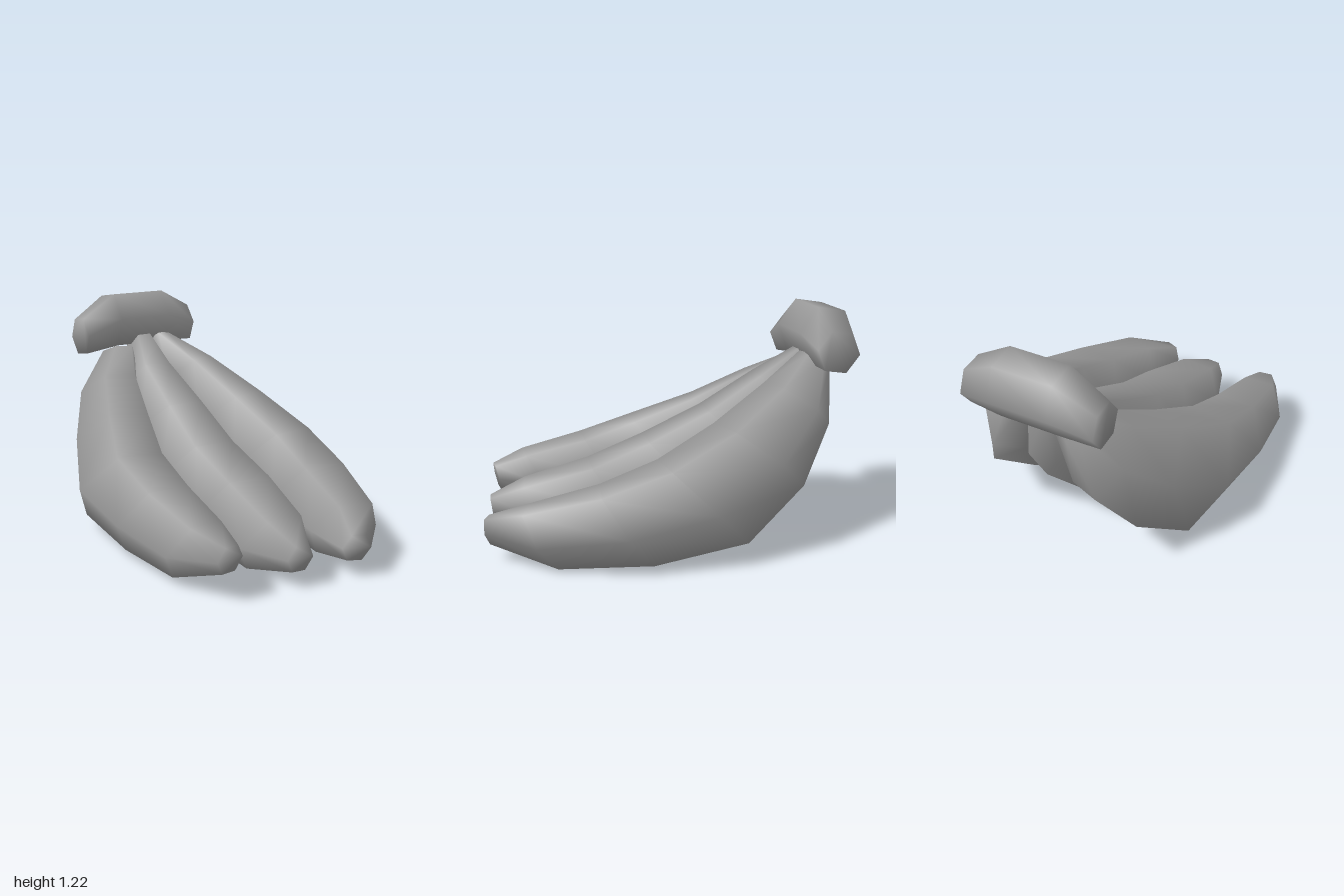
import * as THREE from 'three';

const SIDES = 6;
const material = new THREE.MeshStandardMaterial({ color: 0x999999 });

// Closed smooth skin through rings {c, u, v}: centre and two half-axes, u x v pointing along the path.
function loft(name, rings, phase = 0) {
  const pos = [], index = [];
  for (const { c, u, v } of rings) {
    for (let j = 0; j < SIDES; j++) {
      const a = phase + (j / SIDES) * Math.PI * 2;
      const p = c.clone().addScaledVector(u, Math.cos(a)).addScaledVector(v, Math.sin(a));
      pos.push(p.x, p.y, p.z);
    }
  }
  const end = (rings.length - 1) * SIDES;
  for (let a = 0; a < end; a += SIDES) {
    const b = a + SIDES;
    for (let j = 0; j < SIDES; j++) {
      const k = (j + 1) % SIDES;
      index.push(a + j, a + k, b + k, a + j, b + k, b + j);
    }
  }
  // Flat caps
  for (let j = 1; j < SIDES - 1; j++) {
    index.push(0, j + 1, j, end, end + j, end + j + 1);
  }
  const geometry = new THREE.BufferGeometry();
  geometry.setAttribute('position', new THREE.Float32BufferAttribute(pos, 3));
  geometry.setIndex(index);
  geometry.computeVertexNormals();
  const mesh = new THREE.Mesh(geometry, material);
  mesh.name = name;
  return mesh;
}

// Side profile shared by the fruits: [top z, top y, bottom z, bottom y, belly weight] per ring, stem to tip
const PROFILE = [
  [-0.73, 0.98, -0.85, 0.91, 0],
  [-0.51, 0.84, -0.79, 0.62, 1],
  [-0.21, 0.665, -0.60, 0.34, 1],
  [0.12, 0.51, -0.29, 0.09, 0.7],
  [0.44, 0.395, 0.18, 0.02, 0],
  [0.80, 0.30, 0.63, 0.0, 0],
  [0.985, 0.225, 0.96, 0.09, 0],
];

// One banana: centre x and half-width per ring, length scale, height offsets at stem and tip,
// and belly [x, y, z], which shifts the underside near the stem
function banana(name, xs, widths, length, stemLift, tipLift, belly) {
  const z = (value) => (value + 0.85) * length - 0.85;
  const rings = PROFILE.map(([tz, ty, bz, by, w], i) => {
    const rise = THREE.MathUtils.lerp(stemLift, tipLift, i / (PROFILE.length - 1));
    const lean = (belly[0] * w) / 2;
    const top = new THREE.Vector3(xs[i] - lean, ty + rise, z(tz));
    const bottom = new THREE.Vector3(xs[i] + lean, by + rise + belly[1] * w, z(bz) + belly[2] * w);
    return {
      c: top.clone().add(bottom).multiplyScalar(0.5),
      v: top.clone().sub(bottom).multiplyScalar(0.5 / Math.sin(Math.PI / 3)),
    };
  });
  // Turn each ring to face along the sideways bend
  rings.forEach((ring, i) => {
    const a = rings[Math.max(i - 1, 0)].c, b = rings[Math.min(i + 1, rings.length - 1)].c;
    const t = b.clone().sub(a).normalize();
    ring.u = new THREE.Vector3(widths[i], 0, -t.x * widths[i]);
  });
  return loft(name, rings);
}

export function createModel() {
  const group = new THREE.Group();
  group.name = 'bananaBunch';

  group.add(
    banana('leftBanana',
      [0.15, 0.265, 0.385, 0.46, 0.45, 0.355, 0.215],
      [0.07, 0.155, 0.215, 0.24, 0.23, 0.17, 0.065], 1, 0, 0, [-0.06, 0, 0]),
    banana('middleBanana',
      [0.025, 0.015, 0.02, -0.01, -0.02, -0.065, -0.095],
      [0.08, 0.155, 0.205, 0.23, 0.235, 0.19, 0.07], 0.975, 0, 0, [0.05, 0, 0]),
    banana('rightBanana',
      [-0.11, -0.235, -0.34, -0.455, -0.48, -0.485, -0.46],
      [0.085, 0.155, 0.2, 0.235, 0.22, 0.175, 0.075], 0.945, -0.06, 0.06, [0.03, -0.02, -0.045]),
  );

  // Crosswise stem: [x, y, z, radius in y, radius in z]
  const stem = [
    [-0.34, 0.985, -0.83, 0.115, 0.115],
    [-0.14, 1.06, -0.845, 0.172, 0.155],
    [0.18, 1.06, -0.845, 0.172, 0.155],
    [0.365, 1.01, -0.835, 0.118, 0.118],
  ].map(([x, y, z, ry, rz]) => ({
    c: new THREE.Vector3(x, y, z),
    u: new THREE.Vector3(0, ry, 0),
    v: new THREE.Vector3(0, 0, rz),
  }));
  group.add(loft('stem', stem, 0.38));

  return group;
}
